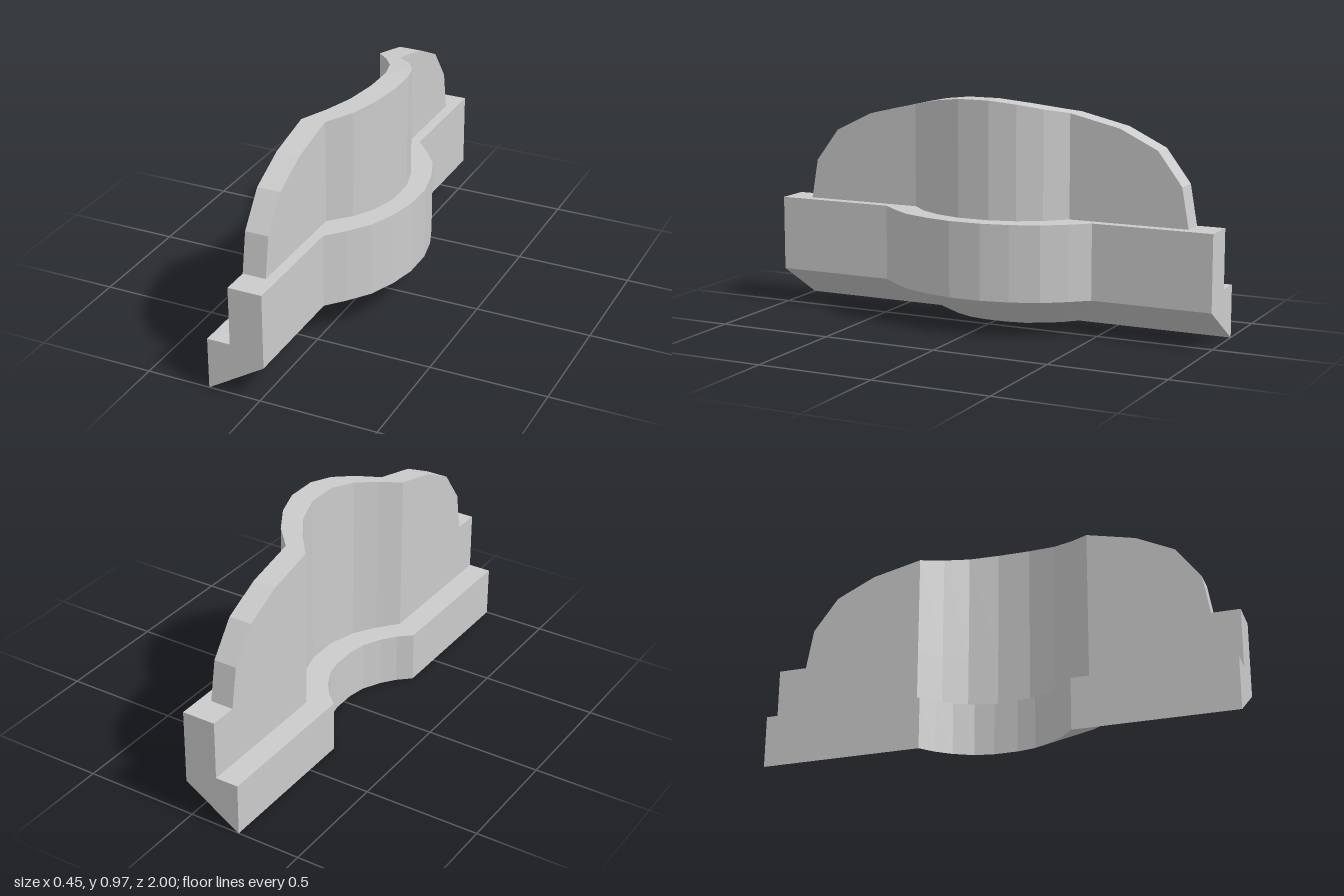
import * as THREE from 'three';

// Half plans of the four bent edges, [x, z] from the bend start to the middle
const backFoot = [[-0.225, 0.32], [-0.17, 0.27], [-0.125, 0.21], [-0.085, 0.13], [-0.07, 0.05]];
const wallBack = [[-0.125, 0.37], [-0.055, 0.285], [0.005, 0.19], [0.04, 0.07], [0.04, 0.03]];
const wallFront = [[-0.025, 0.36], [0.055, 0.277], [0.11, 0.18], [0.14, 0.07], [0.14, 0.03]];
const baseFront = [[0.02, 0.48], [0.085, 0.405], [0.155, 0.31], [0.2, 0.19], [0.225, 0.07]];

// Wall silhouette, [z, y] from the end to the middle
const crest = [[0.88, 0.475], [0.85, 0.645], [0.745, 0.785], [0.58, 0.865],
  [0.365, 0.915], [0.28, 0.935], [0.18, 0.956], [0.07, 0.97], [0, 0.97]];

function crestHeight(z) {
  const d = Math.abs(z);
  for (let i = 1; i < crest.length; i++) {
    const [z0, y0] = crest[i - 1], [z1, y1] = crest[i];
    if (d >= z1) return y0 + (y1 - y0) * (z0 - d) / (z0 - z1);
  }
  return 0.97;
}

// Full plan line: straight ends at the given z values, then the bend, mirrored in z
function fullPath(bend, ends) {
  const half = [...ends.map((z) => [bend[0][0], z]), ...bend];
  return [...half, ...half.map(([x, z]) => [x, -z]).reverse()];
}

// Loft through cross-sections running from +z to -z, each clockwise seen from +z
function loft(name, rings, closed, capFan) {
  const n = rings[0].length, index = [];
  for (let i = 0; i < rings.length - 1; i++) {
    for (let j = 0; j < (closed ? n : n - 1); j++) {
      const k = (j + 1) % n;
      const a = i * n + j, b = i * n + k, c = b + n, d = a + n;
      index.push(a, b, c, a, c, d);
    }
  }
  // End caps fan out from one inner corner
  if (closed) {
    const last = (rings.length - 1) * n;
    for (let s = 1; s < n - 1; s++) {
      const p = (capFan + s) % n, q = (capFan + s + 1) % n;
      index.push(capFan, q, p, last + capFan, last + p, last + q);
    }
  }
  const indexed = new THREE.BufferGeometry();
  indexed.setAttribute('position', new THREE.Float32BufferAttribute(rings.flat(2), 3));
  indexed.setIndex(index);
  const geometry = indexed.toNonIndexed();
  geometry.computeVertexNormals();
  const mesh = new THREE.Mesh(geometry,
    new THREE.MeshStandardMaterial({ color: 0xcccccc, flatShading: true }));
  mesh.name = name;
  return mesh;
}

export function createModel() {
  const group = new THREE.Group();
  group.name = 'bowedParapet';

  // Stepped base with a slanted underside
  const baseSection = [[backFoot, 0], [backFoot, 0.223], [wallBack, 0.223],
    [wallBack, 0.475], [baseFront, 0.475], [baseFront, 0.153]]
    .map(([bend, y]) => fullPath(bend, [1]).map(([x, z]) => [x, y, z]));
  const baseRings = baseSection[0].map((_, i) => baseSection.map((line) => line[i]));
  group.add(loft('steppedBase', baseRings, true, 2));

  // Upright wall with an arched crest, open where it meets the base
  const ends = [0.88, 0.85, 0.745, 0.58];
  const back = fullPath(wallBack, ends), front = fullPath(wallFront, ends);
  const wallRings = back.map(([xb, zb], i) => {
    const [xf, zf] = front[i];
    return [[xb, 0.475, zb], [xb, crestHeight(zb), zb], [xf, crestHeight(zf), zf], [xf, 0.475, zf]];
  });
  group.add(loft('archedWall', wallRings, false, 0));

  return group;
}
